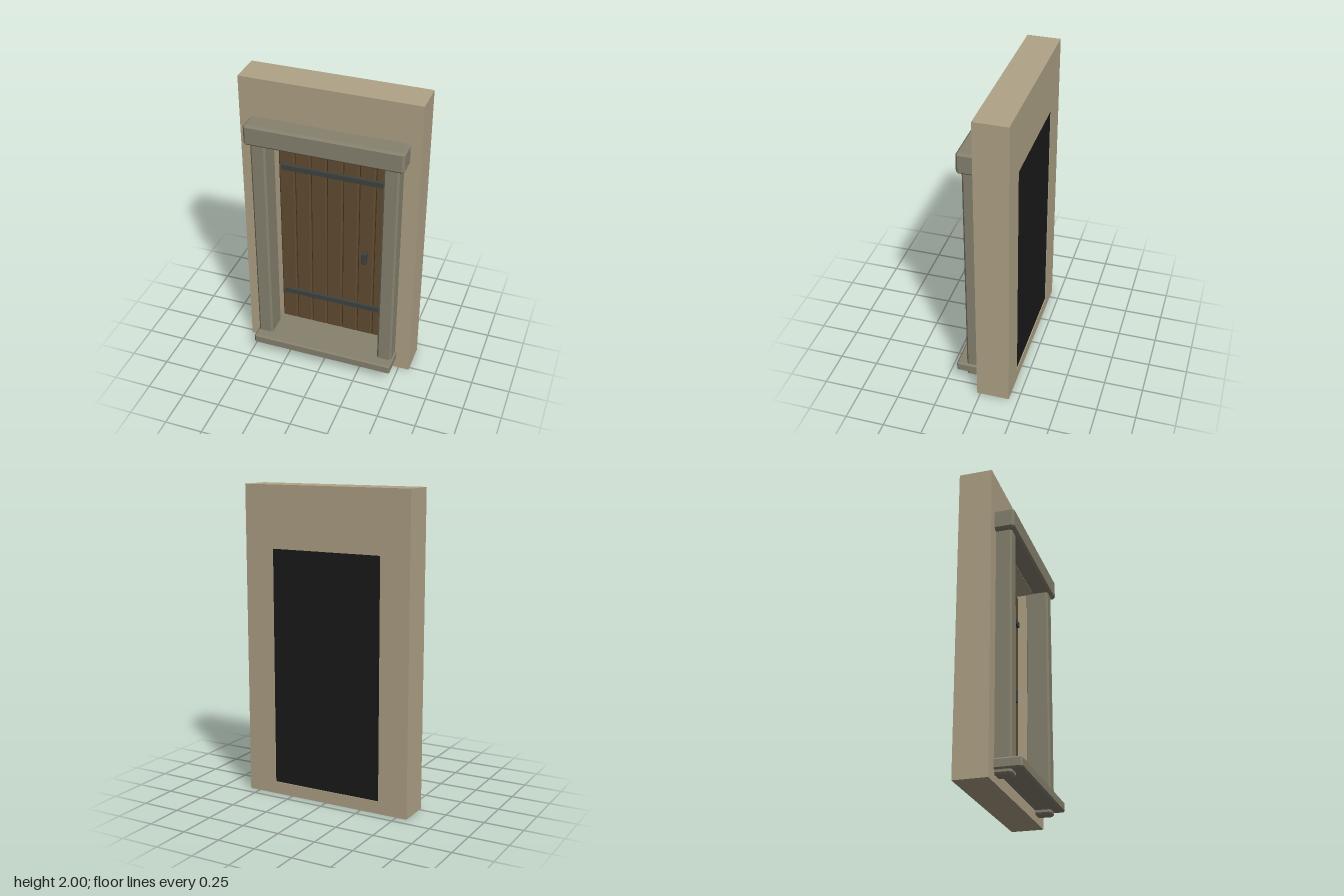
import * as THREE from 'three';
import { ConvexGeometry } from 'three/addons/geometries/ConvexGeometry.js';

const material = (name, color) => {
  const m = new THREE.MeshStandardMaterial({ color });
  m.name = name;
  return m;
};

// Box between two corners with all edges cut at 45 degrees by b
function chamferedBox(x0, x1, y0, y1, z0, z1, b) {
  const half = [(x1 - x0) / 2, (y1 - y0) / 2, (z1 - z0) / 2];
  const points = [];
  for (const sx of [-1, 1]) for (const sy of [-1, 1]) for (const sz of [-1, 1]) {
    for (let face = 0; face < 3; face++) {
      const [x, y, z] = half.map((h, axis) => (axis === face ? h : h - b));
      points.push(new THREE.Vector3(sx * x, sy * y, sz * z));
    }
  }
  const geometry = new ConvexGeometry(points);
  geometry.translate((x0 + x1) / 2, (y0 + y1) / 2, (z0 + z1) / 2);
  return geometry;
}

function plainBox(x0, x1, y0, y1, z0, z1) {
  const geometry = new THREE.BoxGeometry(x1 - x0, y1 - y0, z1 - z0);
  geometry.translate((x0 + x1) / 2, (y0 + y1) / 2, (z0 + z1) / 2);
  return geometry;
}

export function createModel() {
  const plaster = material('plaster', 0xb0a387);
  const stone = material('stone', 0x87826f);
  const wood = material('wood', 0x624c31);
  const iron = material('iron', 0x3e4340);
  const dark = material('dark backing', 0x1a1a1a);

  const model = new THREE.Group();
  model.name = 'doorway';
  const add = (name, geometry, mat, parent = model) => {
    const mesh = new THREE.Mesh(geometry, mat);
    mesh.name = name;
    parent.add(mesh);
    return mesh;
  };

  // Wall slab with the door opening cut through it
  const slab = new THREE.Shape([
    new THREE.Vector2(-0.57, 0), new THREE.Vector2(0.57, 0),
    new THREE.Vector2(0.57, 2), new THREE.Vector2(-0.57, 2),
  ]);
  slab.holes.push(new THREE.Path([
    new THREE.Vector2(-0.375, 0.08), new THREE.Vector2(-0.375, 1.605),
    new THREE.Vector2(0.375, 1.605), new THREE.Vector2(0.375, 0.08),
  ]));
  const wallGeometry = new THREE.ExtrudeGeometry(slab, { depth: 0.212, bevelEnabled: false });
  wallGeometry.translate(0, 0, -0.19);
  add('wall', wallGeometry, plaster);

  // Dark sheet closing the opening, just inside the back
  add('backing', plainBox(-0.375, 0.375, 0.08, 1.605, -0.184, -0.176), dark);

  // Stone surround; the jambs run down through the sill
  for (const [name, side] of [['leftJamb', 1], ['rightJamb', -1]]) {
    const inner = side * 0.372, outer = side * 0.47;
    add(name, chamferedBox(Math.min(inner, outer), Math.max(inner, outer),
      0.045, 1.66, -0.035, 0.122, 0.012), stone);
  }
  add('lintel', chamferedBox(-0.502, 0.502, 1.608, 1.745, -0.035, 0.146, 0.014), stone);
  add('sill', chamferedBox(-0.48, 0.48, 0.073, 0.14, -0.1, 0.188, 0.01), stone);

  // Plank door
  const door = new THREE.Group();
  door.name = 'door';
  model.add(door);
  const pitch = 0.1068;
  for (let i = -3; i <= 3; i++) {
    add('plank', chamferedBox(i * pitch - 0.051, i * pitch + 0.051,
      0.11, 1.593, -0.14, -0.087, 0.007), wood, door);
  }

  // Iron straps and handle
  for (const y of [0.376, 1.362]) {
    add('strap', plainBox(-0.35, 0.345, y - 0.017, y + 0.017, -0.092, -0.068), iron, door);
  }
  add('handle', chamferedBox(0.2, 0.228, 0.748, 0.832, -0.092, -0.045, 0.003), iron, door);

  return model;
}
